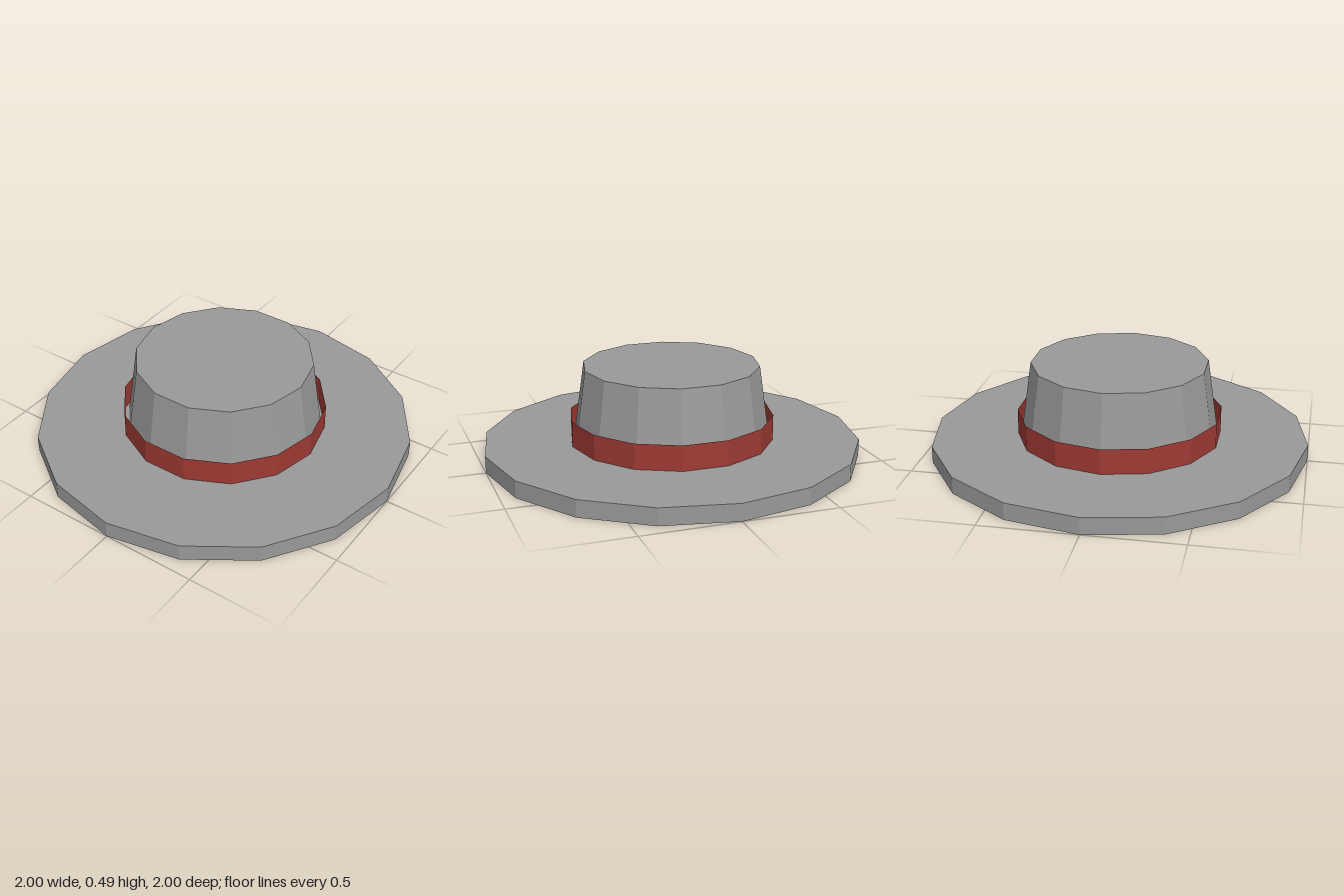
import * as THREE from 'three';

export function createModel() {
  const hat = new THREE.Group();
  hat.name = 'hat';

  const felt = new THREE.MeshStandardMaterial({ color: 0x999999, flatShading: true });
  felt.name = 'grey felt';
  const ribbon = new THREE.MeshStandardMaterial({ color: 0x9e3a34, flatShading: true, side: THREE.DoubleSide });
  ribbon.name = 'red ribbon';

  // Faceted ring or disc between two heights, with a corner on the x axis
  function tier(name, material, rTop, rBottom, y0, y1, sides, open = false) {
    const geometry = new THREE.CylinderGeometry(rTop, rBottom, y1 - y0, sides, 1, open, Math.PI / 2);
    geometry.translate(0, (y0 + y1) / 2, 0);
    const mesh = new THREE.Mesh(geometry, material);
    mesh.name = name;
    hat.add(mesh);
  }

  tier('brim', felt, 1, 1, 0, 0.09, 16);
  tier('crown', felt, 0.467, 0.525, 0.09, 0.49, 14);
  // The band is an open sleeve standing slightly off the crown
  tier('band', ribbon, 0.543, 0.543, 0.09, 0.225, 14, true);

  return hat;
}
